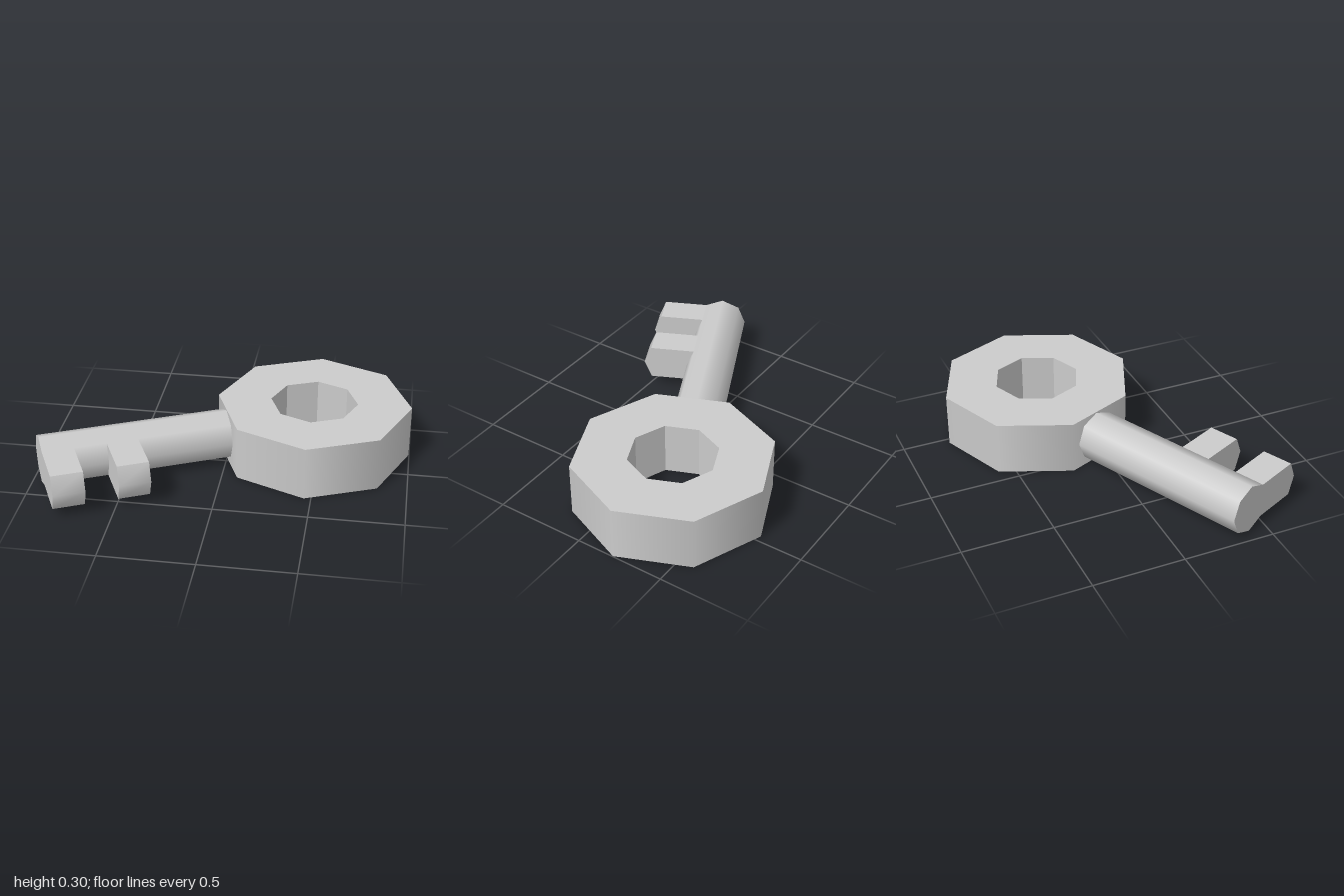
import * as THREE from 'three';
import { toCreasedNormals } from 'three/addons/utils/BufferGeometryUtils.js';

const grey = new THREE.MeshStandardMaterial({ color: 0xcccccc });
const SIDES = 8;

function addMesh(parent, name, geometry) {
  const mesh = new THREE.Mesh(geometry, grey);
  mesh.name = name;
  parent.add(mesh);
  return mesh;
}

// One octagonal band swept between two (radius, height) points
function band(r0, y0, r1, y1) {
  return new THREE.LatheGeometry([new THREE.Vector2(r0, y0), new THREE.Vector2(r1, y1)], SIDES);
}

function createBow() {
  const outer = 0.535, inner = 0.24, h = 0.297;
  const bow = new THREE.Group();
  bow.name = 'bow';
  addMesh(bow, 'bowRim', band(outer, 0, outer, h));
  addMesh(bow, 'bowTop', band(outer, h, inner, h));
  addMesh(bow, 'bowBottom', band(inner, 0, outer, 0));
  // The hole has faceted walls
  const hole = band(inner, h, inner, 0).toNonIndexed();
  hole.computeVertexNormals();
  addMesh(bow, 'bowHole', hole);
  bow.position.set(0.462, 0, -0.211);
  return bow;
}

function createBlade() {
  const r = 0.138, c = r * Math.SQRT1_2, length = 1.037;
  const blade = new THREE.Group();
  blade.name = 'blade';

  // Shaft runs along local +x from its free end towards the bow
  const shaft = new THREE.CylinderGeometry(r, r, length, SIDES);
  shaft.rotateZ(-Math.PI / 2).translate(length / 2, 0, 0);
  addMesh(blade, 'shaft', shaft);

  // Teeth continue two sides of the shaft outwards along local +z
  const width = 0.17, reach = 0.248;
  const section = new THREE.Shape([
    [c, -c], [c + reach, -c], [r + reach, 0], [c + reach, c], [c, c], [r, 0],
  ].map(([x, y]) => new THREE.Vector2(x, y)));
  [0, 0.345].forEach((start, i) => {
    const tooth = new THREE.ExtrudeGeometry(section, { depth: width, bevelEnabled: false });
    tooth.rotateY(-Math.PI / 2).translate(start + width, 0, 0);
    addMesh(blade, i === 0 ? 'endTooth' : 'innerTooth', toCreasedNormals(tooth, 0.9));
  });

  blade.position.set(-0.942, 0.153, 0.391);
  blade.rotation.y = THREE.MathUtils.degToRad(25);
  return blade;
}

export function createModel() {
  const key = new THREE.Group();
  key.name = 'key';
  key.add(createBow(), createBlade());
  return key;
}
